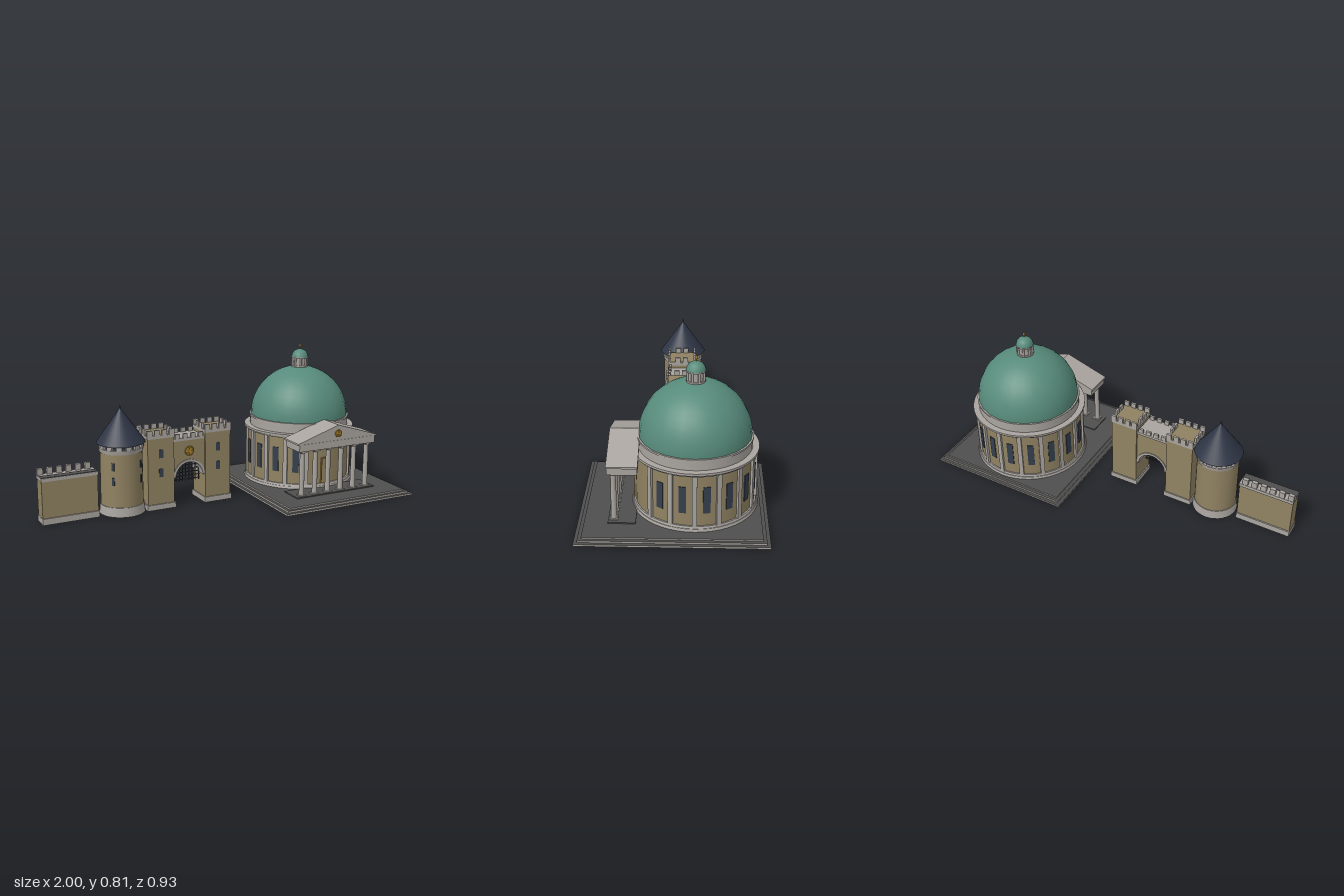
import * as THREE from 'three';

const mat = (name, color) => Object.assign(new THREE.MeshStandardMaterial({ color }), { name });

export function createModel() {
  const stone = mat('pale stone', 0xa9a49f);
  const wall = mat('sandstone', 0x908262);
  const green = mat('copper green', 0x578b7b);
  const slate = mat('dark slate', 0x2e3545);
  const glass = mat('window glass', 0x353f4d);
  const paving = mat('dark paving', 0x504f4e);
  const gold = mat('gold', 0xa8802c);
  const iron = mat('iron', 0x35353a);

  const root = new THREE.Group();
  const group = (name, x = 0, y = 0, z = 0, parent = root) => {
    const g = new THREE.Group();
    g.name = name;
    g.position.set(x, y, z);
    parent.add(g);
    return g;
  };
  const add = (parent, name, geo, m, x = 0, y = 0, z = 0) => {
    const mesh = new THREE.Mesh(geo, m);
    mesh.name = name;
    mesh.position.set(x, y, z);
    parent.add(mesh);
    return mesh;
  };
  // box and cylinder given by bottom and top heights
  const box = (p, name, m, w, d, y0, y1, x = 0, z = 0) =>
    add(p, name, new THREE.BoxGeometry(w, y1 - y0, d), m, x, (y0 + y1) / 2, z);
  const cyl = (p, name, m, rTop, rBot, y0, y1, x = 0, z = 0, n = 32) =>
    add(p, name, new THREE.CylinderGeometry(rTop, rBot, y1 - y0, n), m, x, (y0 + y1) / 2, z);
  // box standing on a circle, facing outwards; angle 0 is the front
  const radialBox = (p, name, m, w, d, y0, y1, r, a) => {
    const b = box(p, name, m, w, d, y0, y1, Math.sin(a) * r, Math.cos(a) * r);
    b.rotation.y = a;
    return b;
  };
  const medallion = (p, x, y, z, r) => {
    const g = group('medallion', x, y, z, p);
    const disc = add(g, 'medallionDisc', new THREE.CylinderGeometry(r, r, 0.008, 24), gold);
    const hub = add(g, 'medallionHub', new THREE.CylinderGeometry(r * 0.35, r * 0.35, 0.014, 16), gold);
    disc.rotation.x = hub.rotation.x = Math.PI / 2;
    add(g, 'medallionRing', new THREE.TorusGeometry(r, r * 0.14, 6, 24), gold, 0, 0, 0.003);
    for (let i = 0; i < 4; i++) {
      const ray = add(g, 'medallionRay', new THREE.BoxGeometry(r * 2, r * 0.16, 0.012), gold);
      ray.rotation.z = i * Math.PI / 4;
    }
  };

  // ---- stepped platform: stone risers, dark treads ----
  const paved = [stone, stone, paving, stone, stone, stone];
  const platform = group('platform', 0.5925, 0, 0);
  box(platform, 'lowerStep', paved, 0.815, 0.93, 0, 0.01);
  box(platform, 'middleStep', paved, 0.78, 0.895, 0.01, 0.02);
  box(platform, 'upperStep', paved, 0.745, 0.86, 0.02, 0.028);

  // ---- domed hall ----
  const hall = group('domedHall', 0.592, 0, -0.104);
  cyl(hall, 'drumPlinth', stone, 0.312, 0.316, 0.028, 0.042, 0, 0, 48);
  cyl(hall, 'drumPlinthTop', stone, 0.305, 0.309, 0.042, 0.053, 0, 0, 48);
  cyl(hall, 'drumWall', wall, 0.297, 0.297, 0.05, 0.325, 0, 0, 48);
  cyl(hall, 'cornice', stone, 0.311, 0.306, 0.32, 0.33, 0, 0, 48);
  cyl(hall, 'corniceLip', stone, 0.316, 0.316, 0.33, 0.342, 0, 0, 48);
  cyl(hall, 'attic', stone, 0.283, 0.283, 0.34, 0.392, 0, 0, 48);
  cyl(hall, 'atticLip', stone, 0.287, 0.287, 0.39, 0.4, 0, 0, 48);
  // bays 0, 1 and 15 by the entrance stay plain
  for (let i = 1; i < 16; i++) {
    const a = (i * Math.PI) / 8;
    if (i === 1) continue;
    radialBox(hall, 'pilaster', stone, 0.024, 0.02, 0.05, 0.322, 0.298, a);
    if (i < 15) radialBox(hall, 'window', glass, 0.036, 0.008, 0.12, 0.26, 0.296, a + Math.PI / 16);
  }
  add(hall, 'dome', new THREE.SphereGeometry(0.279, 24, 12, 0, Math.PI * 2, 0, Math.PI / 2), green, 0, 0.4, 0);

  // door surround
  for (const s of [-1, 1]) box(hall, 'doorJamb', gold, 0.006, 0.012, 0.05, 0.2, s * 0.026, 0.297);
  box(hall, 'doorLintel', gold, 0.058, 0.012, 0.195, 0.203, 0, 0.298);

  // lantern
  const lantern = group('lantern', 0, 0, 0, hall);
  cyl(lantern, 'lanternFoot', stone, 0.047, 0.047, 0.67, 0.683, 0, 0, 24);
  cyl(lantern, 'lanternCore', stone, 0.04, 0.04, 0.68, 0.73, 0, 0, 16);
  for (let i = 0; i < 8; i++) {
    const a = (i + 0.5) * Math.PI / 4;
    cyl(lantern, 'lanternColumn', stone, 0.006, 0.006, 0.68, 0.728, Math.sin(a) * 0.043, Math.cos(a) * 0.043, 8);
  }
  cyl(lantern, 'lanternCornice', stone, 0.049, 0.049, 0.727, 0.733, 0, 0, 24);
  const lathe = (pts, n) => new THREE.LatheGeometry(pts.map(([r, y]) => new THREE.Vector2(r, y)), n);
  add(lantern, 'lanternDome', lathe([[0.048, 0.733], [0.044, 0.75], [0.034, 0.764], [0.018, 0.773], [0, 0.779]], 16), green);
  add(lantern, 'finial', lathe([[0.004, 0.775], [0.003, 0.782], [0.007, 0.793], [0.006, 0.8], [0, 0.815]], 10), gold);

  // ---- portico ----
  const portico = group('portico', 0.59, 0, 0);
  box(portico, 'porticoFloor', paving, 0.505, 0.135, 0.028, 0.034, 0, 0.247);
  for (let i = 0; i < 6; i++) {
    const x = (i - 2.5) * 0.084;
    box(portico, 'columnBase', stone, 0.038, 0.038, 0.034, 0.04, x, 0.286);
    cyl(portico, 'columnShaft', stone, 0.013, 0.015, 0.04, 0.278, x, 0.286, 16);
    cyl(portico, 'columnNeck', stone, 0.019, 0.013, 0.272, 0.282, x, 0.286, 16);
    box(portico, 'columnCapital', stone, 0.042, 0.042, 0.282, 0.291, x, 0.286);
  }
  box(portico, 'entablature', stone, 0.49, 0.146, 0.29, 0.33, 0, 0.242);
  const gable = (name, pts, z0, z1) => {
    const s = new THREE.Shape(pts.map(([x, y]) => new THREE.Vector2(x, y)));
    add(portico, name, new THREE.ExtrudeGeometry(s, { depth: z1 - z0, bevelEnabled: false }), stone, 0, 0, z0);
  };
  gable('pediment', [[-0.245, 0.328], [0.245, 0.328], [0, 0.405]], 0.168, 0.313);
  gable('pedimentRoof', [[-0.254, 0.328], [-0.235, 0.328], [0, 0.404], [0.235, 0.328], [0.254, 0.328], [0.254, 0.337], [0, 0.417], [-0.254, 0.337]], 0.166, 0.317);
  medallion(portico, 0, 0.37, 0.317, 0.019);

  // ---- gatehouse ----
  const gate = group('gatehouse', -0.188, 0, -0.016);
  for (const s of [-1, 1]) {
    const t = group('gateTower', s * 0.168, 0, 0, gate);
    box(t, 'towerPlinth', stone, 0.164, 0.164, 0, 0.03);
    box(t, 'towerBody', wall, 0.152, 0.152, 0.03, 0.4);
    box(t, 'towerBand', stone, 0.158, 0.158, 0.392, 0.408);
    box(t, 'towerRoof', wall, 0.146, 0.146, 0.4, 0.41);
    for (let k = 0; k < 4; k++) {
      const u = (k - 1.5) * 0.0425;
      for (const e of [-1, 1]) {
        box(t, 'merlon', stone, 0.029, 0.012, 0.405, 0.438, u, e * 0.073);
        if (k === 1 || k === 2) box(t, 'merlon', stone, 0.012, 0.029, 0.405, 0.438, e * 0.073, u);
      }
    }
    for (const y of [0.18, 0.285]) box(t, 'towerWindow', glass, 0.024, 0.008, y, y + 0.046, 0, 0.075);
  }
  // arched wall between the towers
  const spring = 0.16, R = 0.087;
  const arch = new THREE.Shape();
  arch.moveTo(-0.094, spring);
  arch.lineTo(-R, spring);
  arch.absarc(0, spring, R, Math.PI, 0, true);
  arch.lineTo(0.094, spring);
  arch.lineTo(0.094, 0.37);
  arch.lineTo(-0.094, 0.37);
  add(gate, 'archWall', new THREE.ExtrudeGeometry(arch, { depth: 0.13, bevelEnabled: false, curveSegments: 20 }), wall, 0, 0, -0.065);
  const ring = new THREE.Shape();
  ring.absarc(0, spring, 0.094, 0, Math.PI, false);
  ring.absarc(0, spring, 0.08, Math.PI, 0, true);
  add(gate, 'archRing', new THREE.ExtrudeGeometry(ring, { depth: 0.14, bevelEnabled: false, curveSegments: 20 }), stone, 0, 0, -0.07);
  box(gate, 'gateCoping', stone, 0.18, 0.142, 0.362, 0.376);
  for (let k = 0; k < 4; k++) for (const e of [-1, 1])
    box(gate, 'gateMerlon', stone, 0.026, 0.012, 0.374, 0.4, (k - 1.5) * 0.045, e * 0.064);
  medallion(gate, 0, 0.302, 0.068, 0.024);
  // portcullis bars trimmed to the arch
  const reach = (d) => Math.sqrt(Math.max(0, 0.083 ** 2 - d * d));
  for (let i = -4; i <= 4; i++)
    box(gate, 'portcullisBar', iron, 0.004, 0.004, 0.12, spring + reach(i * 0.019), i * 0.019, 0.02);
  for (let j = 0; j < 6; j++) {
    const y = 0.13 + j * 0.02;
    box(gate, 'portcullisRail', iron, 2 * reach(Math.max(0, y - spring)), 0.004, y - 0.002, y + 0.002, 0, 0.02);
  }

  // ---- round tower ----
  const tower = group('roundTower', -0.551, 0, -0.018);
  cyl(tower, 'roundPlinth', stone, 0.117, 0.123, 0, 0.05);
  cyl(tower, 'roundWall', wall, 0.112, 0.114, 0.05, 0.345);
  cyl(tower, 'roundBand', stone, 0.121, 0.116, 0.335, 0.358);
  cyl(tower, 'roundAttic', slate, 0.105, 0.105, 0.355, 0.385);
  for (let i = 0; i < 14; i++)
    radialBox(tower, 'roundMerlon', stone, 0.03, 0.018, 0.355, 0.382, 0.11, (i * Math.PI) / 7);
  add(tower, 'coneRoof', new THREE.ConeGeometry(0.13, 0.185, 32), slate, 0, 0.4725, 0);
  cyl(tower, 'roofSpike', slate, 0.001, 0.005, 0.55, 0.58, 0, 0, 8);
  for (const a of [-0.75, 0.75]) for (const y of [0.17, 0.25])
    radialBox(tower, 'arrowSlit', glass, 0.014, 0.008, y, y + 0.042, 0.1115, a);

  // ---- curtain wall ----
  const curtain = group('curtainWall', -0.848, 0, -0.017);
  box(curtain, 'wallPlinth', stone, 0.304, 0.095, 0, 0.034);
  box(curtain, 'wallBody', wall, 0.3, 0.08, 0.034, 0.232);
  box(curtain, 'wallCoping', stone, 0.304, 0.092, 0.23, 0.248);
  box(curtain, 'wallWalk', paving, 0.302, 0.042, 0.246, 0.251, 0, 0.022);
  for (let k = 0; k < 6; k++)
    box(curtain, 'wallMerlon', stone, 0.03, 0.02, 0.247, 0.282, -0.136 + k * 0.051, -0.034);

  return root;
}
